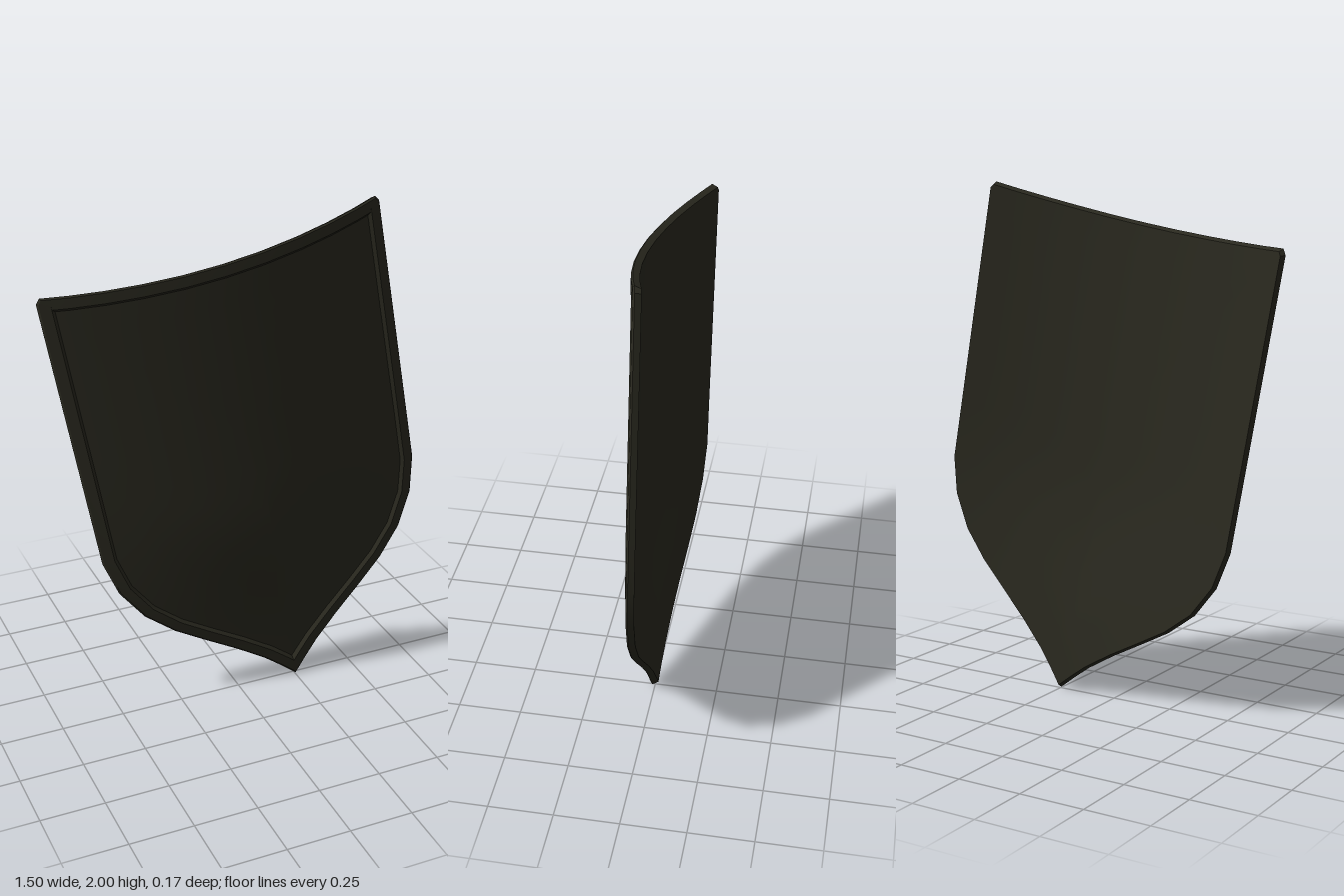
import * as THREE from 'three';
import { toCreasedNormals } from 'three/addons/utils/BufferGeometryUtils.js';

const TILT = 0.1815, SHIFT = 0.25, HALF = 0.66;
const CENTRE = new THREE.Vector2(0, 1.1);

// Right half of the outline in the shield's own upright frame, tip to top middle
const HALF_OUTLINE = [
  [0, -0.046], [0.057, 0.018], [0.116, 0.08], [0.22, 0.17], [0.34, 0.264], [0.45, 0.352], [0.552, 0.46],
  [0.626, 0.595], [0.66, 0.745], [0.66, 0.95], [0.66, 1.2], [0.66, 1.45], [0.66, 1.68], [0.66, 1.845],
  [0.645, 1.866], [0.55, 1.856], [0.43, 1.846], [0.3, 1.838], [0.15, 1.832], [0, 1.83],
];

// Whole outline, anticlockwise from the front
function makeOutline() {
  const right = HALF_OUTLINE.map(([u, v]) => new THREE.Vector2(u, v));
  const left = right.slice(1, -1).reverse().map((p) => new THREE.Vector2(-p.x, p.y));
  return [...right, ...left];
}

// Moves every outline point inwards by a constant distance
function inset(points, d) {
  const n = points.length;
  const normal = (a, b) => new THREE.Vector2(a.y - b.y, b.x - a.x).normalize();
  return points.map((p, i) => {
    const n1 = normal(points[(i + n - 1) % n], p);
    const n2 = normal(p, points[(i + 1) % n]);
    return n1.clone().add(n2).multiplyScalar(d / (1 + n1.dot(n2))).add(p);
  });
}

// Bowed face: parabola across the width, flattening towards the tip, slightly turned
function bow(u, v) {
  const f = 0.4 + 0.6 * THREE.MathUtils.smoothstep(v - 0.35 * Math.abs(u), 0.05, 0.8);
  return -0.025 + 0.053 * u + 0.105 * (1 - (u / HALF) ** 2) * f;
}

// Lofts a surface through rings given as [inset, scale towards centre, depth offset]
function loft(rings, crease) {
  const outline = makeOutline(), n = outline.length;
  const positions = [], index = [];
  const c = Math.cos(TILT), s = Math.sin(TILT);
  rings.forEach(([d, scale, dz], r) => {
    inset(outline, d).forEach((p, j) => {
      const q = p.sub(CENTRE).multiplyScalar(scale).add(CENTRE);
      const u = q.x + SHIFT;
      positions.push(u * c - q.y * s, u * s + q.y * c, bow(q.x, q.y) + dz);
      if (r === 0) return;
      const k = (j + 1) % n, a = (r - 1) * n, b = r * n;
      if (rings[r - 1][1] > 0) index.push(a + j, a + k, b + k);
      if (scale > 0) index.push(a + j, b + k, b + j);
      else index.push();
    });
  });
  const g = new THREE.BufferGeometry();
  g.setAttribute('position', new THREE.Float32BufferAttribute(positions, 3));
  g.setIndex(index);
  return toCreasedNormals(g, crease);
}

export function createModel() {
  const darkMetal = new THREE.MeshStandardMaterial({ color: 0x2b2a20 });
  darkMetal.name = 'darkMetal';
  const shield = new THREE.Group();
  shield.name = 'shield';
  const add = (name, rings, crease) => {
    const mesh = new THREE.Mesh(loft(rings, crease), darkMetal);
    mesh.name = name;
    shield.add(mesh);
  };

  const scales = [1, 0.86, 0.72, 0.58, 0.44, 0.3, 0.15, 0];
  // Recessed front panel
  add('frontPanel', scales.map((s) => [0.057, s, -0.012]), 0.6);
  // Raised border: outer edge, flat band and inner step
  add('rim', [[0.01, 1, -0.03], [0, 1, -0.006], [0.006, 1, 0], [0.045, 1, 0.002], [0.057, 1, -0.012]], 0.4);
  // Plain hollow back
  add('backPanel', [...scales].reverse().map((s) => [0.01, s, -0.03]), 0.6);
  return shield;
}
